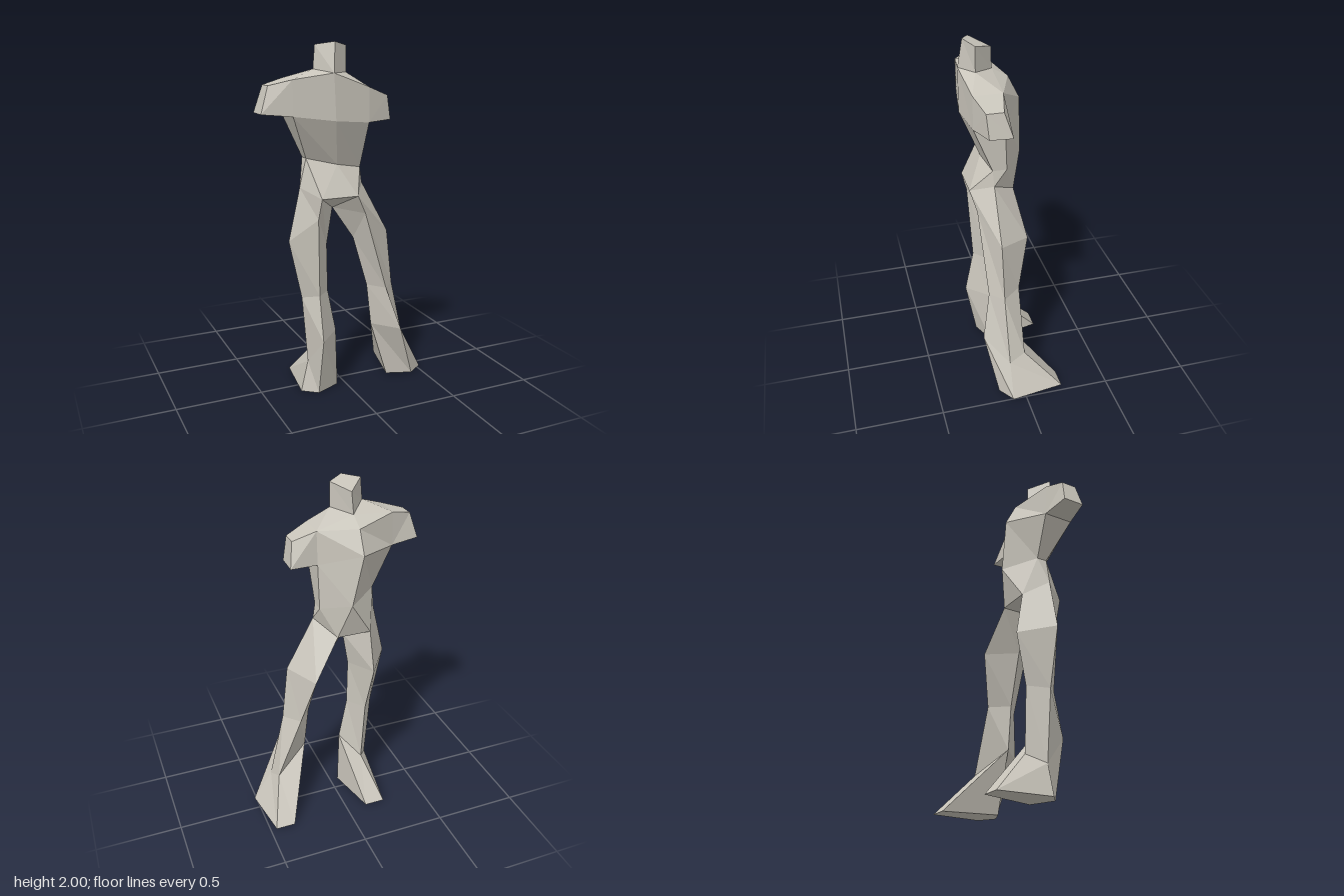
import * as THREE from 'three';

// Fan triangulation of a polygon given counter-clockwise
const fan = (p) => p.slice(2).map((q, i) => [p[0], p[i + 1], q]);

// Side faces between stacked rings, listed from the outer/upper end down
function loft(rings) {
  const tris = [];
  for (let r = 0; r + 1 < rings.length; r++) {
    const a = rings[r], b = rings[r + 1], n = a.length;
    for (let i = 0; i < n; i++) {
      const j = (i + 1) % n;
      tris.push([a[i], b[i], b[j]], [a[i], b[j], a[j]]);
    }
  }
  return tris;
}

// Unshared vertices keep every facet flat
function facets(name, tris, material) {
  const g = new THREE.BufferGeometry();
  g.setAttribute('position', new THREE.Float32BufferAttribute(tris.flat(2), 3));
  g.computeVertexNormals();
  const mesh = new THREE.Mesh(g, material);
  mesh.name = name;
  return mesh;
}

export function createModel() {
  const group = new THREE.Group();
  group.name = 'figure';
  const clay = new THREE.MeshStandardMaterial({ color: 0xc8c4ba });
  clay.name = 'warm grey clay';
  const add = (name, tris) => group.add(facets(name, tris, clay));

  // Torso rings: front, +x front, +x back, back, -x back, -x front
  const top = [[-0.13, 1.84, 0.225], [0.09, 1.76, 0.195], [0.09, 1.76, 0.03],
    [-0.125, 1.77, -0.05], [-0.35, 1.81, 0.025], [-0.35, 1.81, 0.195]];
  const chest = [[-0.12, 1.59, 0.228], [0.09, 1.57, 0.195], [0.09, 1.57, 0.02],
    [-0.125, 1.64, -0.115], [-0.35, 1.62, 0.02], [-0.35, 1.62, 0.195]];
  const waist = [[-0.07, 1.34, 0.125], [0.085, 1.31, 0.09], [0.085, 1.31, 0.01],
    [-0.065, 1.35, -0.105], [-0.24, 1.38, 0.03], [-0.24, 1.38, 0.09]];
  add('torso', loft([top, chest, waist]));

  // Head block on a diamond neck base: front, +x, back, -x
  const neck = [top[0], [-0.03, 1.84, 0.15], [-0.125, 1.82, 0.04], [-0.22, 1.86, 0.15]];
  const crown = [[-0.115, 2, 0.2], [-0.03, 1.98, 0.15], [-0.115, 1.945, 0.045], [-0.21, 1.985, 0.15]];
  add('head', [...loft([crown, neck]), ...fan(crown)]);

  // Sloping shoulders around the neck
  const [, nr, nb, nl] = neck;
  const [tf, trf, trb, tb, tlb, tlf] = top;
  add('shoulders', [[tf, trf, nr], [nr, trf, trb], [nr, trb, nb], [nb, trb, tb],
    [nb, tb, tlb], [nb, tlb, nl], [nl, tlb, tlf], [nl, tlf, tf]]);

  // Cut-off upper arms
  const leftEnd = [[0.22, 1.71, 0.155], [0.245, 1.575, 0.145], [0.245, 1.57, 0.015], [0.22, 1.71, 0.06]];
  const leftRoot = [trf, chest[1], chest[2], trb];
  const rightEnd = [[-0.47, 1.78, 0.06], [-0.515, 1.635, 0.04], [-0.515, 1.635, 0.165], [-0.47, 1.78, 0.15]];
  const rightRoot = [tlb, chest[4], chest[5], tlf];
  add('leftArm', [...loft([leftEnd, leftRoot]), ...fan(leftEnd)]);
  add('rightArm', [...loft([rightEnd, rightRoot]), ...fan(rightEnd)]);

  // Pelvis, ending in the two leg openings and the crotch
  const fl = [-0.195, 1.17, 0.21], fr = [0.02, 1.17, 0.21];
  const or = [0.1, 1.22, 0.085], ol = [-0.277, 1.22, 0.085];
  const br = [0, 1.14, -0.05], bl = [-0.2, 1.14, -0.05];
  const crotch = [-0.08, 1.09, 0.08];
  const [wf, wrf, wrb, wb, wlb, wlf] = waist;
  add('pelvis', [[wlf, fl, wf], [wf, fl, fr], [wf, fr, wrf], [wrf, fr, or], [wrf, or, wrb],
    [wrb, or, br], [wrb, br, wb], [wb, br, bl], [wb, bl, wlb], [wlb, bl, ol],
    [wlb, ol, wlf], [wlf, ol, fl], [fl, crotch, fr], [br, crotch, bl]]);

  // Leg rings: front, +x side, back, -x side; sole: front, +x side, two toes, -x side
  function leg(side, rings, sole) {
    const [f, p, b, m] = rings[rings.length - 1];
    const [sf, sp, tp, tm, sm] = sole;
    add(side + 'Leg', loft(rings));
    add(side + 'Foot', [[f, sf, sp], [f, sp, p], [p, sp, tp], [p, tp, b], [b, tp, tm],
      [b, tm, m], [m, tm, sm], [m, sm, sf], [m, sf, f], ...fan([...sole].reverse())]);
  }
  leg('left', [
    [fr, or, br, crotch],
    [[0.08, 1.06, 0.18], [0.265, 0.92, 0.085], [0.15, 0.89, -0.095], [0.05, 0.9, 0.08]],
    [[0.23, 0.59, 0.155], [0.305, 0.59, 0.08], [0.225, 0.6, -0.025], [0.14, 0.6, 0.08]],
    [[0.305, 0.34, 0.208], [0.4, 0.19, 0.072], [0.375, 0.23, -0.022], [0.17, 0.35, 0.08]],
  ], [[0.42, 0.01, 0.145], [0.513, 0.01, 0.08], [0.465, 0.005, -0.23], [0.35, 0.005, -0.23], [0.28, 0.003, 0.08]]);
  leg('right', [
    [fl, crotch, bl, ol],
    [[-0.205, 1.05, 0.18], [-0.115, 0.88, 0.08], [-0.21, 0.89, -0.095], [-0.345, 0.92, 0.085]],
    [[-0.19, 0.6, 0.155], [-0.11, 0.6, 0.08], [-0.19, 0.6, -0.025], [-0.27, 0.58, 0.08]],
    [[-0.19, 0.34, 0.208], [-0.06, 0.35, 0.08], [-0.17, 0.23, -0.022], [-0.235, 0.18, 0.075]],
  ], [[-0.195, 0, 0.145], [-0.05, 0, 0.08], [-0.12, 0.005, -0.23], [-0.24, 0.005, -0.23], [-0.28, 0, 0.08]]);

  return group;
}
